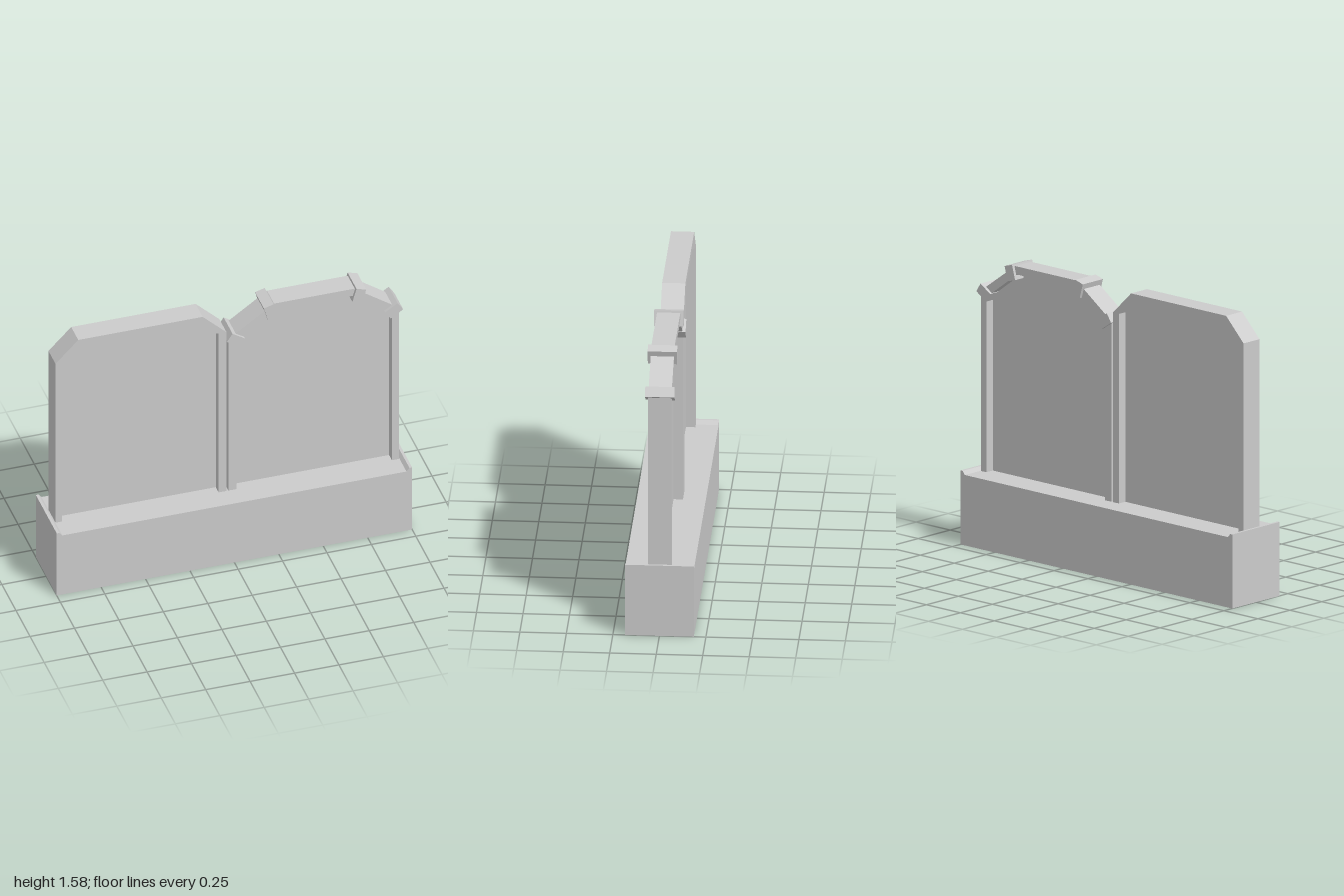
import * as THREE from 'three';

const material = new THREE.MeshStandardMaterial({ color: 0xcccccc, flatShading: true, side: THREE.DoubleSide });

const BASE_TOP = 0.39;

function addMesh(parent, name, geometry) {
  const mesh = new THREE.Mesh(geometry, material);
  mesh.name = name;
  parent.add(mesh);
  return mesh;
}

// Extrude an [x, y] outline to the given depth, centred on z = 0
function slab(points, depth) {
  const shape = new THREE.Shape(points.map(([x, y]) => new THREE.Vector2(x, y)));
  const geometry = new THREE.ExtrudeGeometry(shape, { depth, bevelEnabled: false });
  return geometry.translate(0, 0, -depth / 2);
}

// Drop the triangles lying on the ground so the trough is open underneath
function openBottom(geometry) {
  const flat = geometry.index ? geometry.toNonIndexed() : geometry;
  const p = flat.attributes.position;
  const kept = [];
  for (let i = 0; i < p.count; i += 3) {
    if (Math.max(p.getY(i), p.getY(i + 1), p.getY(i + 2)) < 1e-4) continue;
    for (let j = i; j < i + 3; j++) kept.push(p.getX(j), p.getY(j), p.getZ(j));
  }
  const result = new THREE.BufferGeometry();
  result.setAttribute('position', new THREE.Float32BufferAttribute(kept, 3));
  result.computeVertexNormals();
  return result;
}

// Posts and arch in one frame, with a thin recessed panel inside
function archedBoard(name, outer, inner) {
  const group = new THREE.Group();
  group.name = name;
  const toBase = ([x]) => [x, BASE_TOP];
  const outline = [toBase(outer[0]), ...outer, toBase(outer[3])];
  const opening = [toBase(inner[0]), ...inner, toBase(inner[3])];
  addMesh(group, 'frame', slab([...outline, ...opening.reverse()], 0.125));
  addMesh(group, 'panel', slab(opening, 0.024));
  return group;
}

export function createModel() {
  const model = new THREE.Group();
  model.name = 'twinArchedBoards';

  // Base trough with small raised lips at both ends
  addMesh(model, 'base', openBottom(slab([
    [-1, 0], [1, 0], [1, 0.41], [0.985, 0.41], [0.968, BASE_TOP],
    [-0.968, BASE_TOP], [-0.985, 0.41], [-1, 0.41],
  ], 0.37)));

  // Plain board with a solid chamfered top
  model.add(archedBoard('plainBoard',
    [[-0.968, 1.44], [-0.84, 1.57], [-0.14, 1.57], [-0.006, 1.44]],
    [[-0.93, 1.44], [-0.7, 1.525], [-0.28, 1.525], [-0.05, 1.44]]));

  // Board with a slim arched rail
  const railBoard = archedBoard('railBoard',
    [[0.005, 1.39], [0.262, 1.57], [0.713, 1.57], [0.965, 1.39]],
    [[0.05, 1.36], [0.275, 1.525], [0.7, 1.525], [0.925, 1.36]]);
  model.add(railBoard);

  // Collars over the joints of the rail, mirrored about the board's middle
  const middle = 0.4875;
  for (const side of [-1, 1]) {
    for (const [name, offset, y, tilt] of [
      ['lowerCollar', 0.445, 1.387, 0.99],
      ['upperCollar', 0.249, 1.53, 0.28],
    ]) {
      const collar = addMesh(railBoard, name, new THREE.BoxGeometry(0.057, 0.084, 0.158));
      collar.position.set(middle + side * offset, y, 0);
      collar.rotation.z = -side * tilt;
    }
  }

  return model;
}
